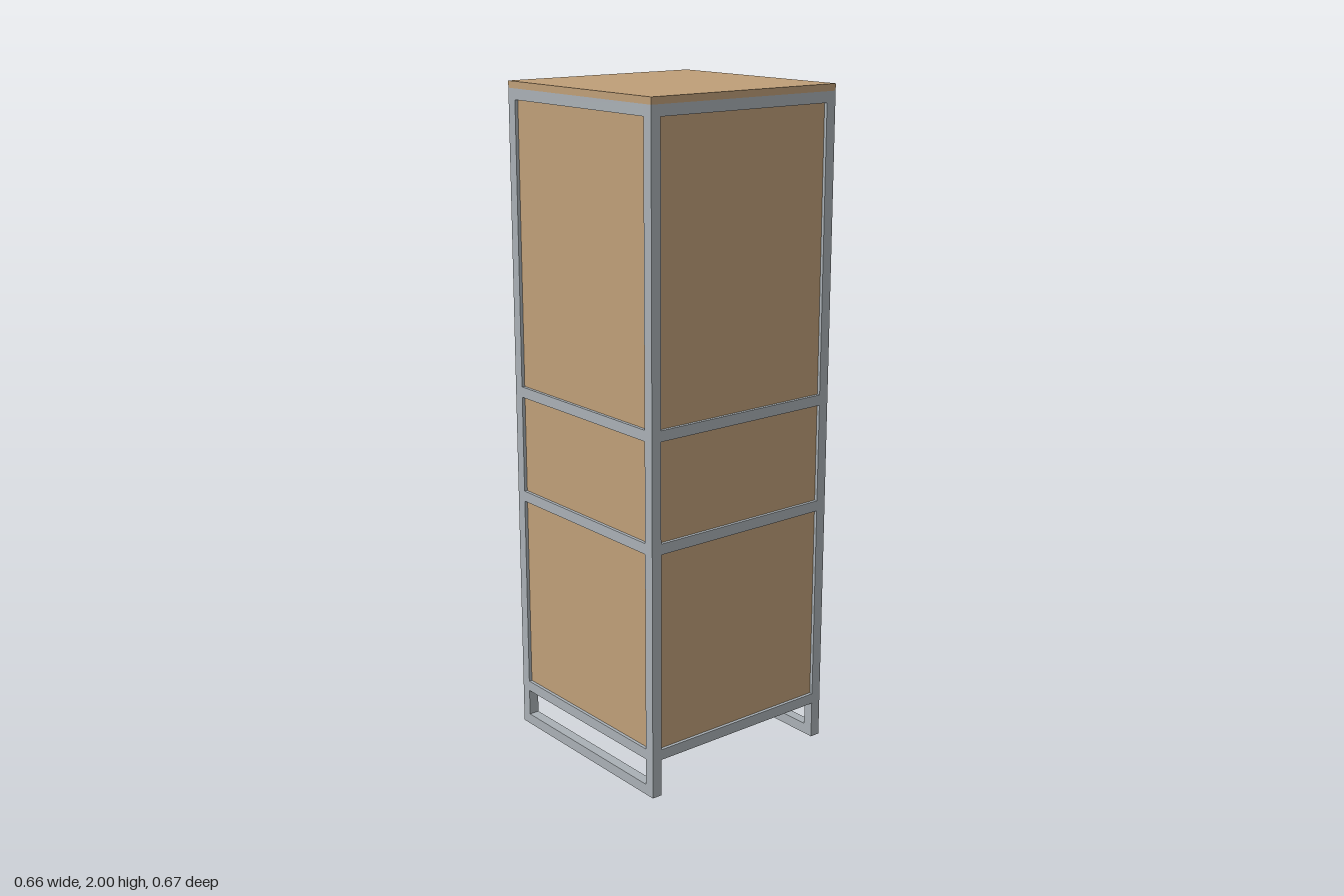
import * as THREE from 'three';

export function createModel() {
  const model = new THREE.Group();
  model.name = 'cabinet';
  const wood = new THREE.MeshStandardMaterial({ color: 0xbf9f78 });
  wood.name = 'wood';
  const metal = new THREE.MeshStandardMaterial({ color: 0xa9b0b5 });
  metal.name = 'metal';

  // Box given by its lower and upper corners
  function box(name, material, [x0, y0, z0], [x1, y1, z1]) {
    const mesh = new THREE.Mesh(new THREE.BoxGeometry(x1 - x0, y1 - y0, z1 - z0), material);
    mesh.position.set((x0 + x1) / 2, (y0 + y1) / 2, (z0 + z1) / 2);
    mesh.name = name;
    model.add(mesh);
  }

  const X = 0.33, Z0 = -0.322, Z1 = 0.335, T = 0.032, H = 1.98;
  const xi = X - T, za = Z0 + T, zb = Z1 - T;
  const rails = [0.113, 0.742, 1.07, H - T];

  // Square tube frame: posts, rails and floor runners
  for (const x of [-X, xi]) {
    for (const z of [Z0, zb]) box('post', metal, [x, 0, z], [x + T, H, z + T]);
    for (const y of [0, ...rails]) {
      box(y === 0 ? 'floorRunner' : 'sideRail', metal, [x, y, za], [x + T, y + T, zb]);
    }
  }
  for (const y of rails) {
    for (const z of [Z0, zb]) box('crossRail', metal, [-xi, y, z], [xi, y + T, z + T]);
  }

  // Recessed side and back panels in each bay
  for (let i = 0; i < 3; i++) {
    const y0 = rails[i] + T, y1 = rails[i + 1];
    box('leftPanel', wood, [xi, y0, za], [X - 0.01, y1, zb]);
    box('rightPanel', wood, [-X + 0.01, y0, za], [-xi, y1, zb]);
    box('backPanel', wood, [-xi, y0, zb], [xi, y1, Z1 - 0.01]);
  }

  // Level boards and top
  box('bottomBoard', wood, [-xi, 0.122, za], [xi, 0.142, zb]);
  box('shelfBoard', wood, [-xi, 0.754, za], [xi, 0.774, zb]);
  box('ceilingBoard', wood, [-xi, 1.07, za], [xi, 1.09, zb]);
  box('top', wood, [-X, H, Z0], [X, 2, Z1]);

  // Door with a vertical angle-profile pull
  const zf = Z0 - 0.002, zh = -0.338, t = 0.003;
  box('door', wood, [-0.291, 1.106, zf], [0.291, 1.944, zf + 0.02]);
  box('doorPullPlate', metal, [0.291, 1.14, zh], [0.294, 1.62, zf + 0.02]);
  box('doorPullLip', metal, [0.273, 1.14, zh], [0.291, 1.62, zh + t]);

  // Three drawers with angle-profile pulls on their top edges
  for (let i = 0; i < 3; i++) {
    const y0 = 0.149 + i * 0.197, y1 = y0 + 0.189;
    box('drawerFront', wood, [-0.291, y0, zf], [0.291, y1, zf + 0.02]);
    box('drawerBody', wood, [-0.28, y0 + 0.01, zf + 0.02], [0.28, y1 - 0.04, 0.28]);
    box('drawerPullPlate', metal, [-0.168, y1, zh], [0.182, y1 + t, zf + 0.02]);
    box('drawerPullLip', metal, [-0.168, y1 - 0.016, zh], [0.182, y1, zh + t]);
  }
  return model;
}
